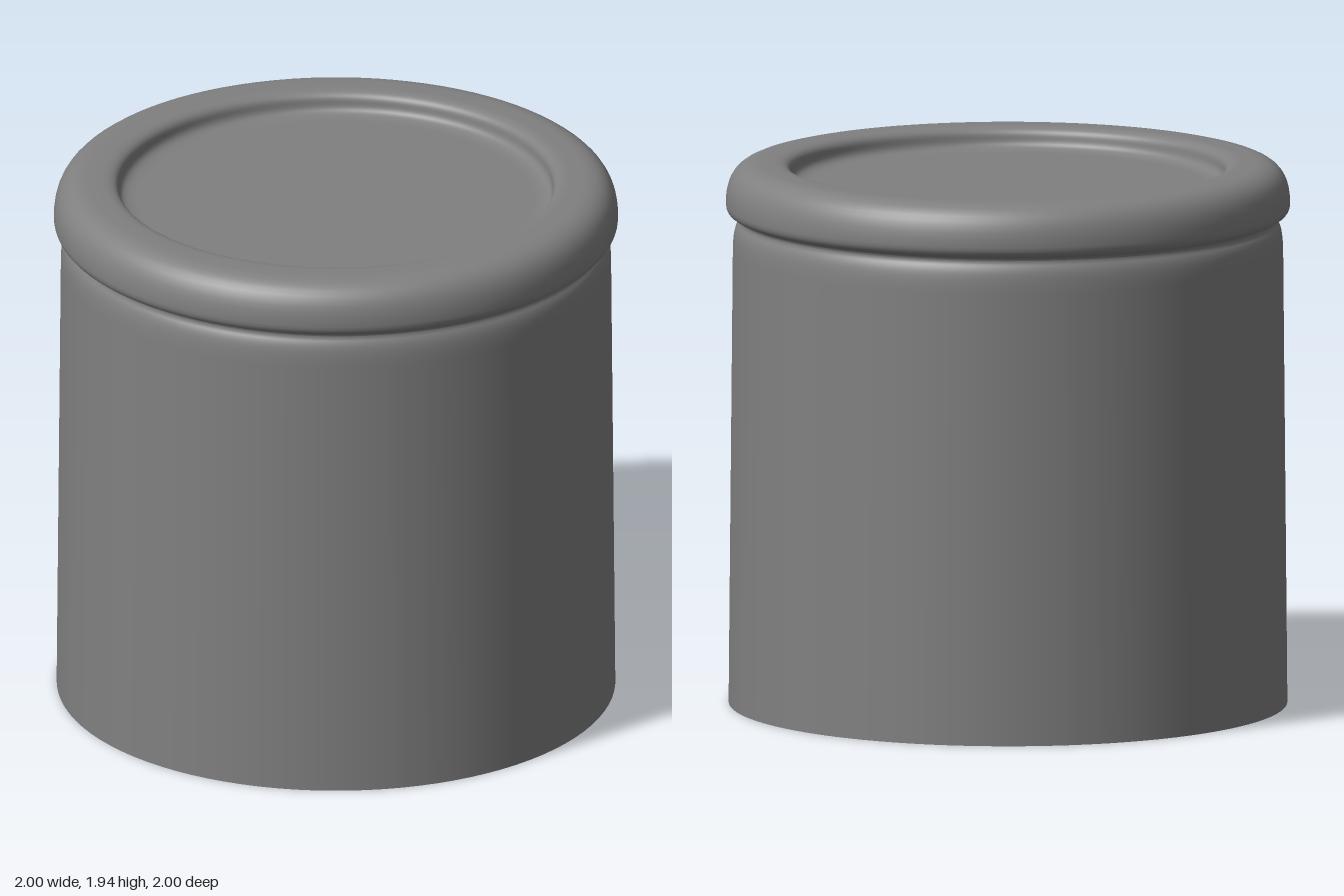
import * as THREE from 'three';

const material = new THREE.MeshStandardMaterial({ color: 0x808080, side: THREE.DoubleSide });

// Revolve a profile path around the vertical axis
function revolve(name, path) {
  const mesh = new THREE.Mesh(new THREE.LatheGeometry(path.getPoints(10), 96), material);
  mesh.name = name;
  return mesh;
}

export function createModel() {
  const group = new THREE.Group();
  group.name = 'lidded canister';

  // Slightly tapered wall, open at the bottom, with a rounded shoulder into the groove
  const wall = new THREE.Path();
  wall.moveTo(0.99, 0);
  wall.lineTo(0.975, 1.62);
  wall.bezierCurveTo(0.974, 1.68, 0.968, 1.7, 0.96, 1.715);
  wall.bezierCurveTo(0.955, 1.723, 0.953, 1.728, 0.953, 1.735);
  group.add(revolve('body', wall));

  // Rounded rim that overhangs the wall and rolls into the sunken flat panel
  const lid = new THREE.Path();
  lid.moveTo(0.953, 1.735);
  lid.bezierCurveTo(0.953, 1.758, 0.998, 1.74, 1, 1.79);
  lid.bezierCurveTo(1, 1.88, 0.965, 1.935, 0.88, 1.937);
  lid.lineTo(0.83, 1.937);
  lid.bezierCurveTo(0.79, 1.937, 0.772, 1.925, 0.77, 1.9);
  lid.bezierCurveTo(0.768, 1.87, 0.755, 1.858, 0.7, 1.857);
  lid.lineTo(0, 1.857);
  group.add(revolve('lid', lid));

  return group;
}
